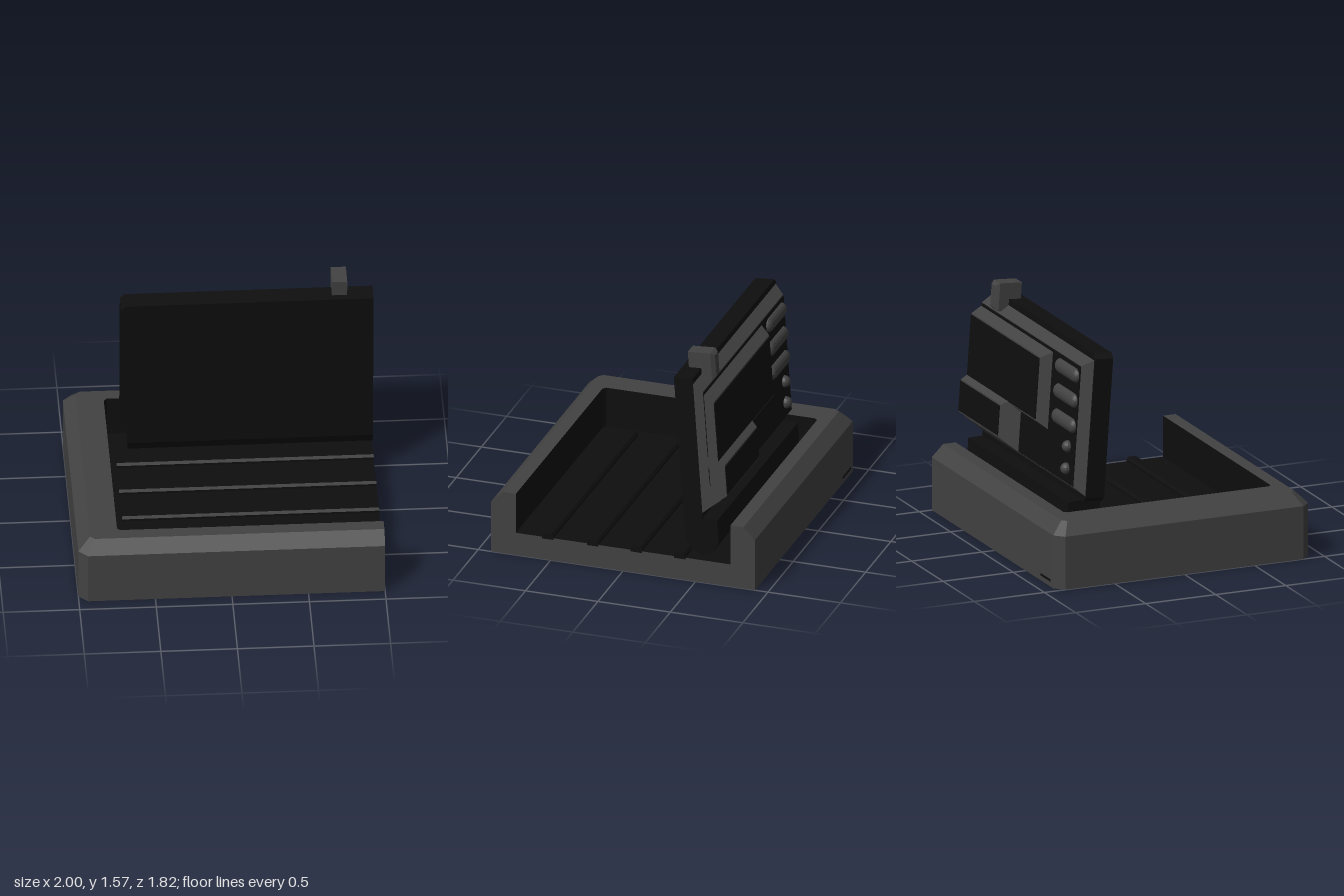
import * as THREE from 'three';

const mat = (name, color) => {
  const m = new THREE.MeshStandardMaterial({ color, flatShading: true, side: THREE.DoubleSide });
  m.name = name;
  return m;
};

export function createModel() {
  const grey = mat('casing grey', 0x424242);
  const black = mat('matte black', 0x0e0e0e);
  const model = new THREE.Group();

  const add = (parent, name, geo, material) => {
    const m = new THREE.Mesh(geo, material);
    m.name = name;
    parent.add(m);
    return m;
  };
  const box = (x0, x1, y0, y1, z0, z1) =>
    new THREE.BoxGeometry(x1 - x0, y1 - y0, z1 - z0)
      .translate((x0 + x1) / 2, (y0 + y1) / 2, (z0 + z1) / 2);

  // Raised plate facing -z, bevelled on every edge except the cut one at +x
  const plate = (x0, x1, y0, y1, d0, d1, b) => {
    const g = box(x0, x1, y0, y1, -d1, -d0);
    const p = g.attributes.position;
    for (let i = 0; i < p.count; i++) {
      if (p.getZ(i) > -d1 + 1e-4) continue;
      if (p.getX(i) < (x0 + x1) / 2) p.setX(i, x0 + b);
      p.setY(i, p.getY(i) < (y0 + y1) / 2 ? y0 + b : y1 - b);
    }
    g.computeVertexNormals();
    return g;
  };

  // ---- Tray: rings around three sides, open at the cut end ----
  const ring = (x, z, y, c) => [
    [1, y, z], [x + c, y, z], [x, y, z - c], [x, y, -z + c], [x + c, y, -z], [1, y, -z]];
  const loft = (rings) => {
    const v = [];
    for (let r = 0; r < rings.length - 1; r++) {
      const a = rings[r], b = rings[r + 1];
      for (let i = 0; i < a.length - 1; i++) {
        v.push(...a[i], ...b[i], ...b[i + 1], ...a[i], ...b[i + 1], ...a[i + 1]);
      }
    }
    const g = new THREE.BufferGeometry();
    g.setAttribute('position', new THREE.Float32BufferAttribute(v, 3));
    g.computeVertexNormals();
    return g;
  };
  const shape = (pts) => new THREE.Shape(pts.map(([a, b]) => new THREE.Vector2(a, b)));

  const tray = new THREE.Group();
  tray.name = 'tray';
  model.add(tray);
  const foot = ring(-1, 0.91, 0, 0.06);
  const lip = ring(-0.74, 0.74, 0.44, 0.02);
  add(tray, 'trayShell', loft([
    foot, ring(-1, 0.91, 0.36, 0.06), ring(-0.92, 0.83, 0.44, 0.03), lip]), grey);
  add(tray, 'trayInnerWall', loft([lip, ring(-0.74, 0.74, 0.16, 0.02)]), black);
  add(tray, 'trayFloor', new THREE.PlaneGeometry(1.74, 1.48)
    .rotateX(-Math.PI / 2).translate(0.13, 0.16, 0), black);
  add(tray, 'trayUnderside', new THREE.ShapeGeometry(shape(foot.map(([x, , z]) => [x, z])))
    .rotateX(Math.PI / 2), grey);
  add(tray, 'trayCutEnd', new THREE.ShapeGeometry(shape([
    [-0.91, 0], [0.91, 0], [0.91, 0.36], [0.83, 0.44], [0.74, 0.44], [0.74, 0.16],
    [-0.74, 0.16], [-0.74, 0.44], [-0.83, 0.44], [-0.91, 0.36]]))
    .rotateY(Math.PI / 2).translate(1, 0, 0), grey);
  add(tray, 'rearSlot', box(-0.9, -0.74, 0.035, 0.05, -0.913, -0.908), black);

  // Floor ribs
  for (const z of [0.52, 0.21, -0.09, -0.39]) {
    const s = shape([[-0.04, 0.148], [0.04, 0.148], [0.04, 0.175], [0.025, 0.19],
      [-0.025, 0.19], [-0.04, 0.175]]);
    add(tray, 'floorRib', new THREE.ExtrudeGeometry(s, { depth: 1.681, bevelEnabled: false })
      .rotateY(Math.PI / 2).translate(-0.68, 0, z), black);
  }

  // Hinge barrel along the foot of the lid
  const hinge = shape([[0.42, 0.47], [0.65, 0.46], [0.66, 0.3], [0.62, 0.23], [0.55, 0.2],
    [0.48, 0.22], [0.43, 0.3]]);
  add(model, 'hingeBarrel', new THREE.ExtrudeGeometry(hinge, { depth: 1.6, bevelEnabled: false })
    .rotateY(Math.PI / 2).translate(-0.6, 0, 0), black);

  // ---- Lid, leaning forward ----
  const lid = new THREE.Group();
  lid.name = 'lid';
  lid.position.set(0, 0.45, -0.42);
  lid.rotation.x = 0.07;
  model.add(lid);
  const front = shape([[-0.65, 0.03], [-0.62, 0], [1, 0], [1, 1], [-0.62, 1], [-0.65, 0.97]]);
  add(lid, 'lidFront', new THREE.ExtrudeGeometry(front, { depth: 0.13, bevelEnabled: false })
    .translate(0, 0, -0.13), black);
  add(lid, 'lidBack', plate(-0.64, 1, 0.04, 0.96, 0.13, 0.195, 0.05), grey);
  add(lid, 'lidBackFace', box(-0.585, 1, 0.095, 0.905, -0.2, -0.194), black);

  // Raised screen and two-step lower panel
  add(lid, 'screenFrame', plate(-0.15, 1, 0.36, 0.89, 0.195, 0.265, 0.05), grey);
  add(lid, 'screenFace', box(-0.09, 1, 0.42, 0.83, -0.27, -0.264), black);
  add(lid, 'lowerPanelBase', plate(0.28, 1, 0.09, 0.45, 0.195, 0.265, 0.05), grey);
  add(lid, 'lowerPanel', plate(0.33, 1, 0.14, 0.43, 0.26, 0.31, 0.035), grey);
  add(lid, 'lowerPanelFace', box(0.375, 1, 0.185, 0.385, -0.315, -0.309), black);

  // Three rounded bars and two knobs beside the screen
  for (const y of [0.83, 0.66, 0.49]) {
    add(lid, 'roundedBar', new THREE.CapsuleGeometry(0.05, 0.25, 6, 16)
      .rotateZ(Math.PI / 2).scale(1, 1, 0.8).translate(-0.4, y, -0.195), grey);
  }
  for (const y of [0.34, 0.19]) {
    add(lid, 'knob', new THREE.SphereGeometry(0.04, 16, 10).translate(-0.48, y, -0.205), grey);
  }

  // Latch standing above the top edge
  add(lid, 'latch', plate(0.73, 0.83, 0.92, 1.11, 0.045, 0.2, 0), grey);
  const tip = plate(-0.05, 0.05, 0.92, 1.11, 0.2, 0.225, 0.02);
  tip.translate(0.78, 0, 0);
  const tp = tip.attributes.position;
  for (let i = 0; i < tp.count; i++) {
    if (tp.getZ(i) < -0.21 && tp.getX(i) > 0.78) tp.setX(i, 0.81);
  }
  tip.computeVertexNormals();
  add(lid, 'latchTip', tip, grey);
  return model;
}
